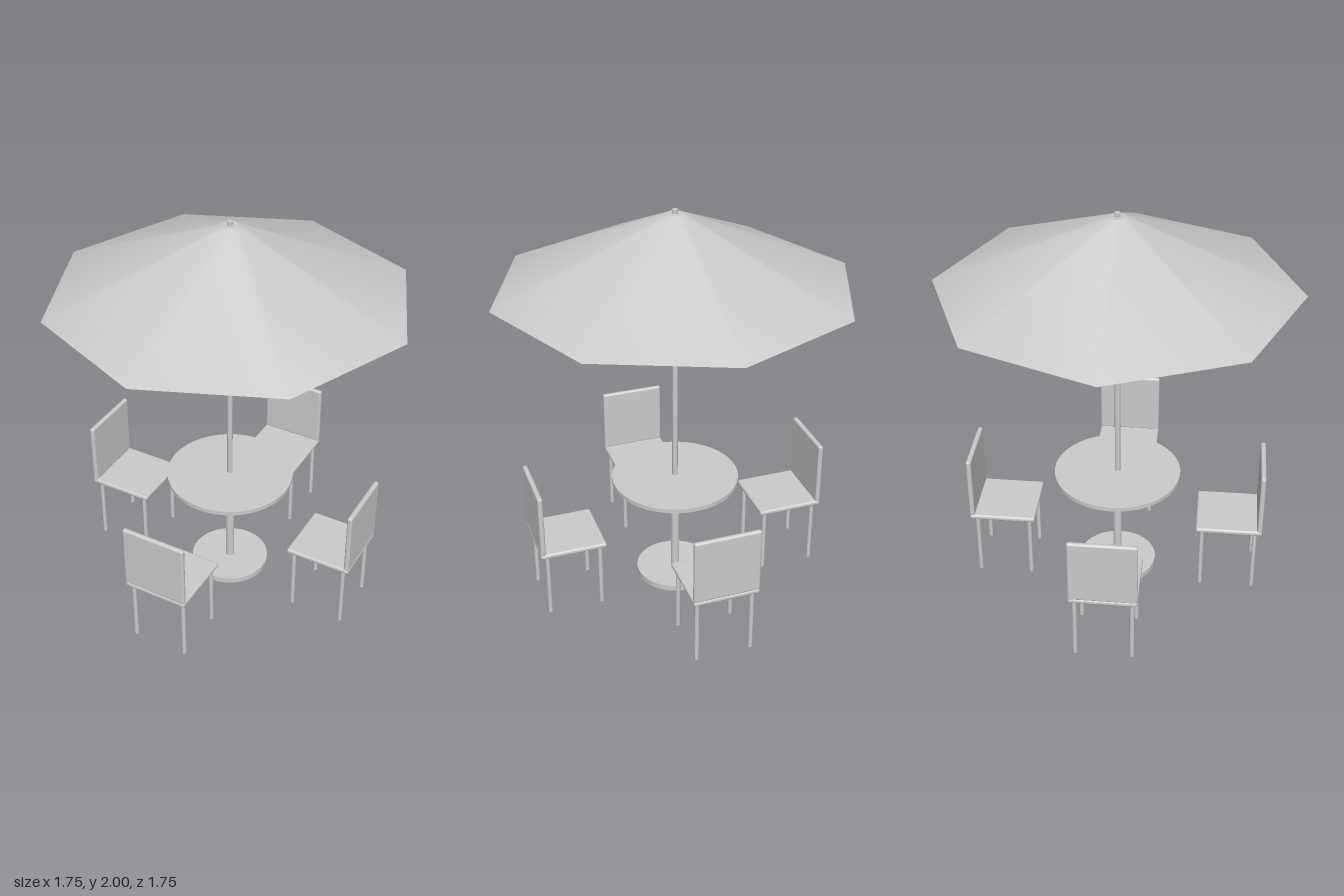
import * as THREE from 'three';
import { RoundedBoxGeometry } from 'three/addons/geometries/RoundedBoxGeometry.js';

const material = new THREE.MeshStandardMaterial({ color: 0xcccccc });

function add(parent, name, geometry, x, y, z) {
  const mesh = new THREE.Mesh(geometry, material);
  mesh.name = name;
  mesh.position.set(x, y, z);
  parent.add(mesh);
  return mesh;
}

// Upright cylinder spanning bottom..top
function post(parent, name, radius, bottom, top, x = 0, z = 0, sides = 24) {
  const geometry = new THREE.CylinderGeometry(radius, radius, top - bottom, sides);
  return add(parent, name, geometry, x, (bottom + top) / 2, z);
}

// Chair on the +z side, its back outwards, facing the table
function createChair() {
  const chair = new THREE.Group();
  chair.name = 'chair';
  add(chair, 'seat', new RoundedBoxGeometry(0.33, 0.027, 0.335, 3, 0.011), 0, 0.353, 0.58);
  add(chair, 'backrest', new RoundedBoxGeometry(0.33, 0.335, 0.026, 3, 0.011), 0, 0.529, 0.735);
  for (const x of [-0.138, 0.138]) {
    for (const z of [0.444, 0.712]) post(chair, 'chairLeg', 0.011, 0, 0.345, x, z, 16);
  }
  return chair;
}

export function createModel() {
  const model = new THREE.Group();
  model.name = 'patioSet';

  // Table on a weighted foot
  const table = new THREE.Group();
  table.name = 'table';
  post(table, 'tableBase', 0.2, 0, 0.03, 0, 0, 48);
  post(table, 'tableColumn', 0.022, 0.03, 0.567);
  post(table, 'tableTop', 0.32, 0.566, 0.588, 0, 0, 64);
  model.add(table);

  // Parasol: eight-sided closed canopy on a slim pole
  const parasol = new THREE.Group();
  parasol.name = 'parasol';
  post(parasol, 'pole', 0.014, 0.58, 2);
  add(parasol, 'canopy', new THREE.CylinderGeometry(0.042, 0.875, 0.358, 8), 0, 1.802, 0);
  model.add(parasol);

  // Four chairs around the table
  for (let i = 0; i < 4; i++) {
    const chair = createChair();
    chair.rotation.y = (i * Math.PI) / 2;
    model.add(chair);
  }
  return model;
}
